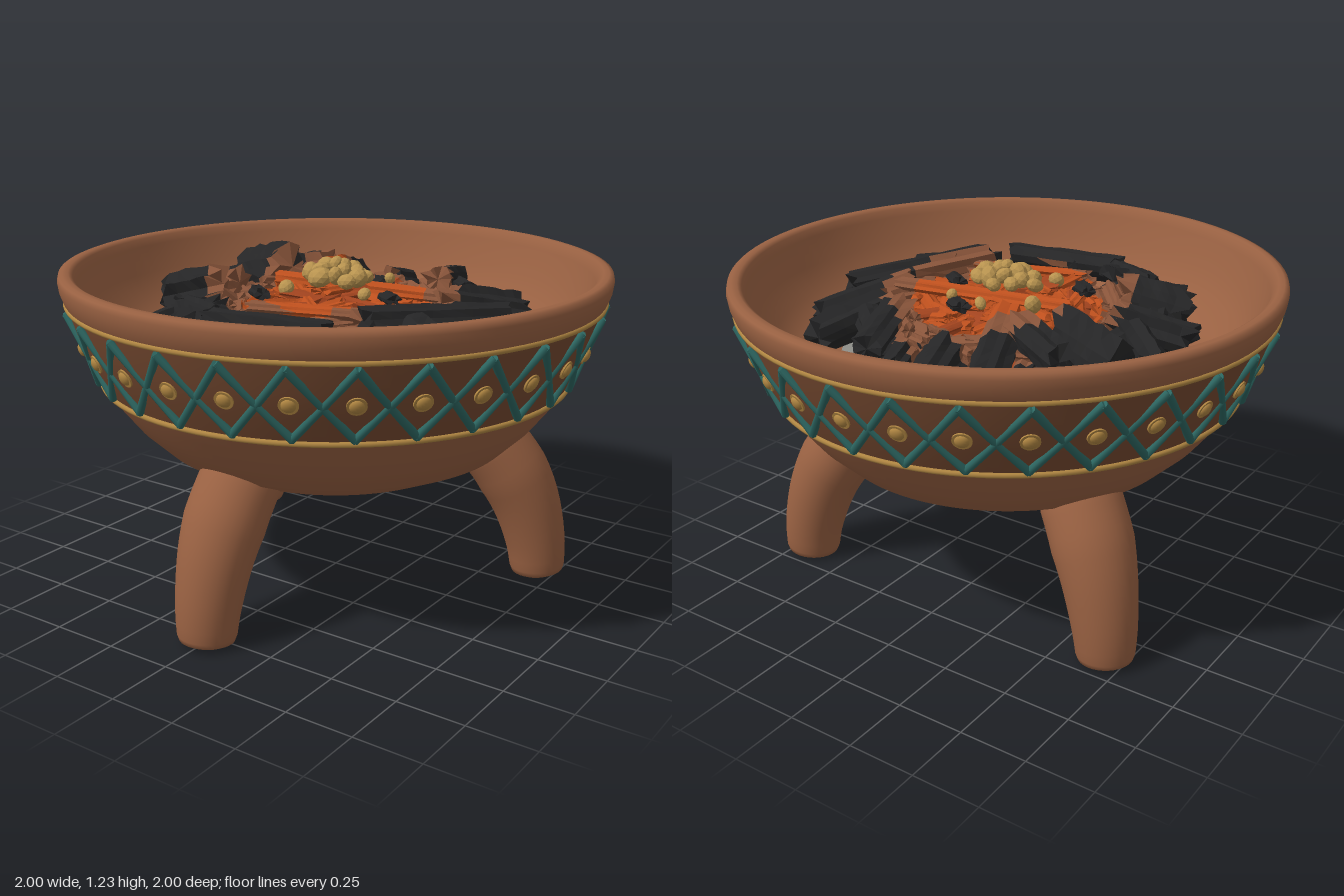
import * as THREE from 'three';
import { mergeVertices } from 'three/addons/utils/BufferGeometryUtils.js';

const V = (x, y, z) => new THREE.Vector3(x, y, z);
const mat = (name, color, extra = {}) => {
  const m = new THREE.MeshStandardMaterial({ color, ...extra });
  m.name = name;
  return m;
};
const flat = { flatShading: true };

export function createModel() {
  const model = new THREE.Group();
  model.name = 'fireBowl';
  const clay = mat('clay', 0x996142);
  const darkClay = mat('darkClay', 0x754930);
  const gold = mat('gold', 0xb08642);
  const teal = mat('teal', 0x2d6762);
  const ashGrey = mat('ashGrey', 0x8a8a84);
  const black = mat('charcoalBlack', 0x252526, flat);
  const brown = mat('scorchedBrown', 0x88543a, flat);
  const orange = mat('emberOrange', 0xbd4f1d, flat);
  const deepOrange = mat('emberDeep', 0xa5451f, flat);
  const resinGold = mat('resinGold', 0xb8934f, flat);

  const add = (name, geo, material, parent = model) => {
    const mesh = new THREE.Mesh(geo, material);
    mesh.name = name;
    parent.add(mesh);
    return mesh;
  };
  let seed = 7;
  const rnd = (a = 0, b = 1) => {
    seed = (seed * 16807) % 2147483647;
    return a + (b - a) * seed / 2147483647;
  };
  const lathe = (name, pts, material) =>
    add(name, new THREE.LatheGeometry(pts.map(p => new THREE.Vector2(...p)), 96), material);

  // Bowl: underside, decorated band, then rim and inside
  lathe('bowlUnderside', [[0, 0.45], [0.35, 0.452], [0.5, 0.485], [0.65, 0.555], [0.75, 0.65], [0.82, 0.74], [0.86, 0.8]], clay);
  lathe('band', [[0.86, 0.8], [0.905, 0.89], [0.945, 0.99], [0.972, 1.09]], darkClay);
  lathe('rimAndInside', [[0.972, 1.09], [0.982, 1.105], [0.995, 1.14], [1, 1.175], [0.995, 1.195], [0.98, 1.2], [0.96, 1.2],
    [0.945, 1.19], [0.935, 1.16], [0.9, 1.06], [0.85, 0.97], [0.78, 0.9], [0.7, 0.86], [0.6, 0.84], [0, 0.83]], clay);
  lathe('ashBed', [[0.62, 0.84], [0.615, 0.885], [0.56, 0.91], [0.4, 0.93], [0, 0.94]], ashGrey);

  // Gold rings bordering the band
  for (const [r, y] of [[0.975, 1.092], [0.863, 0.798]]) {
    add('goldRing', new THREE.TorusGeometry(r, 0.01, 8, 96).rotateX(Math.PI / 2), gold).position.y = y;
  }

  // Crossed lattice and studs around the band
  const band = new THREE.Group();
  band.name = 'bandOrnament';
  model.add(band);
  const count = 28, step = Math.PI * 2 / count, up = V(0, 1, 0);
  const onBand = (a, y, lift) => {
    const r = 0.863 + (y - 0.8) * 0.39 + lift;
    return V(Math.sin(a) * r, y, Math.cos(a) * r);
  };
  const strutGeo = new THREE.CylinderGeometry(0.0145, 0.0145, 1, 8);
  const baseGeo = new THREE.CylinderGeometry(0.033, 0.033, 0.012, 20).rotateX(Math.PI / 2);
  const studGeo = new THREE.SphereGeometry(0.025, 16, 10).scale(1, 1, 0.6);
  for (let i = 0; i < count; i++) {
    const a = i * step;
    for (const [y0, y1] of [[0.818, 1.07], [1.07, 0.818]]) {
      const p = onBand(a, y0, 0.008), q = onBand(a + step, y1, 0.008), d = q.clone().sub(p);
      const strut = add('latticeStrut', strutGeo, teal, band);
      strut.position.copy(p).add(q).multiplyScalar(0.5);
      strut.scale.y = d.length() + 0.01;
      strut.quaternion.setFromUnitVectors(up, d.normalize());
    }
    const stud = new THREE.Group();
    stud.name = 'stud';
    stud.position.copy(onBand(a, 0.945, 0.007));
    stud.rotation.set(0.36, a, 0, 'YXZ');
    add('studBase', baseGeo, gold, stud);
    add('studDome', studGeo, gold, stud).position.z = 0.004;
    band.add(stud);
  }

  // Leg: a turned profile bent along a curve, slightly flattened front to back
  const path = new THREE.CatmullRomCurve3([V(0, 0, 0.785), V(0, 0.13, 0.772), V(0, 0.3, 0.725), V(0, 0.42, 0.665), V(0, 0.52, 0.592), V(0, 0.585, 0.535)]);
  const profile = [[0, 0.005], [0.08, 0.005], [0.098, 0.02], [0.105, 0.05]];
  for (let i = 1; i <= 14; i++) profile.push([0.105 + 0.043 * Math.min(1, i / 10), 0.05 + i * 0.06]);
  profile.push([0.14, 0.94], [0.115, 0.985], [0.08, 1], [0, 1]);
  let legGeo = new THREE.LatheGeometry(profile.map(p => new THREE.Vector2(...p)), 32);
  const lp = legGeo.attributes.position;
  for (let i = 0; i < lp.count; i++) {
    const t = lp.getY(i), c = path.getPointAt(t), T = path.getTangentAt(t), w = lp.getZ(i) * (1 - 0.1 * t);
    lp.setXYZ(i, lp.getX(i), Math.max(0, c.y - T.z * w), c.z + T.y * w);
  }
  legGeo.deleteAttribute('uv');
  legGeo.deleteAttribute('normal');
  legGeo = mergeVertices(legGeo, 1e-5);
  legGeo.computeVertexNormals();
  for (let i = 0; i < 3; i++) add('leg', legGeo, clay).rotation.y = i * Math.PI * 2 / 3;

  // Split-wood pieces; each triangle joins a colour zone by its distance from the centre
  const zones = { black: [], brown: [], orange: [], deepOrange: [] };
  const stick = (a, b, w, h, pick) => {
    const n = 14, segs = 7, d = b.clone().sub(a), len = d.length();
    d.normalize();
    const s = V(0, 1, 0).cross(d).normalize(), u = d.clone().cross(s), roll = rnd(0, 3);
    const radii = Array.from({ length: n }, (_, i) => (i % 2 ? 0.92 : 1.1) * rnd(0.85, 1.15));
    const rings = [];
    for (let k = 0; k <= segs; k++) {
      const end = k === 0 || k === segs;
      rings.push(radii.map((r, i) => {
        const t = i / n * Math.PI * 2 + roll, f = r * rnd(0.94, 1.06);
        return a.clone().addScaledVector(d, len * k / segs + (end ? rnd(-0.5, 0.5) * w : 0))
          .addScaledVector(s, Math.cos(t) * w * f).addScaledVector(u, Math.sin(t) * h * f);
      }));
    }
    const tri = (p, q, r) => {
      const x = (p.x + q.x + r.x) / 3, z = (p.z + q.z + r.z) / 3;
      zones[pick(Math.hypot(x, z))].push(...p, ...q, ...r);
    };
    for (let i = 0; i < n; i++) {
      const j = (i + 1) % n;
      for (let k = 0; k < segs; k++) {
        tri(rings[k][i], rings[k][j], rings[k + 1][j]);
        tri(rings[k][i], rings[k + 1][j], rings[k + 1][i]);
      }
      tri(a, rings[0][j], rings[0][i]);
      tri(b, rings[segs][i], rings[segs][j]);
    }
  };
  const heat = r => r > 0.46 ? 'black' : r > 0.35 ? 'brown' : 'orange';

  // Outer charcoal: x, z of both ends and half width
  const coals = [
    [-0.12, -0.7, -0.05, -0.44, 0.06], [-0.3, -0.57, -0.17, -0.24, 0.06], [0.15, -0.62, 0.24, -0.33, 0.055],
    [0.47, -0.51, 0.36, -0.24, 0.07], [0.58, -0.37, 0.4, -0.08, 0.06], [-0.59, -0.26, -0.36, -0.22, 0.095],
    [-0.68, -0.13, -0.45, 0.07, 0.07], [-0.67, 0.14, -0.42, 0.04, 0.075], [-0.55, 0.3, -0.36, 0.22, 0.08],
    [-0.44, 0.54, -0.3, 0.33, 0.075], [-0.26, 0.57, -0.2, 0.42, 0.065], [-0.15, 0.55, 0.3, 0.47, 0.055],
    [0.12, 0.66, 0.05, 0.46, 0.065], [0.46, 0.53, 0.36, 0.27, 0.05], [0.62, -0.14, 0.34, 0.33, 0.06],
    [0.67, 0.13, 0.47, -0.04, 0.055], [0.59, 0.27, 0.4, 0.18, 0.065], [-0.46, -0.38, -0.24, -0.3, 0.06],
    [-0.5, -0.12, -0.5, 0.12, 0.06], [-0.53, 0.16, -0.44, 0.36, 0.055], [-0.34, 0.44, -0.14, 0.52, 0.05],
    [0.5, -0.22, 0.52, 0.02, 0.05], [0.2, -0.5, 0.34, -0.38, 0.045],
  ];
  coals.forEach(([x1, z1, x2, z2, w], i) => {
    const y = (x, z) => 0.985 + Math.max(0, 0.7 - Math.hypot(x, z)) * 0.25 + (i % 3) * 0.025;
    stick(V(x1, y(x1, z1), z1), V(x2, y(x2, z2), z2), w, w * 0.9, heat);
  });
  // Under-layer of half-burnt pieces closing the ring
  for (let i = 0; i < 28; i++) {
    const a = i / 28 * Math.PI * 2, r = rnd(0.5, 0.57), t = a + rnd(-0.3, 0.3);
    stick(V(Math.sin(a) * r, 0.95, Math.cos(a) * r), V(Math.sin(t) * 0.34, 1.01, Math.cos(t) * 0.34), 0.045, 0.045, heat);
  }
  // Scorched ring, laid mostly around the fire
  for (let i = 0; i < 28; i++) {
    const a = i / 28 * Math.PI * 2, t = a + rnd(0.25, 0.7), r = rnd(0.34, 0.44), q = rnd(0.33, 0.45), y = rnd(1.01, 1.06);
    stick(V(Math.sin(a) * r, y, Math.cos(a) * r), V(Math.sin(t) * q, y + rnd(-0.02, 0.04), Math.cos(t) * q),
      rnd(0.022, 0.038), 0.025, heat);
  }
  // Glowing embers heaped towards the middle
  for (let i = 0; i < 70; i++) {
    const a = rnd(0, 6.283), r = 0.32 * Math.sqrt(rnd()), t = rnd(0, 6.283), l = rnd(0.06, 0.17);
    const x = Math.sin(a) * r, z = Math.cos(a) * r, y = 1.125 - r * 0.22 - rnd(0, 0.06), dy = rnd(-0.025, 0.025);
    const hot = i % 4 ? 'orange' : 'deepOrange';
    stick(V(x - Math.sin(t) * l, y - dy, z - Math.cos(t) * l), V(x + Math.sin(t) * l, y + dy, z + Math.cos(t) * l),
      rnd(0.018, 0.038), rnd(0.014, 0.024), k => k > 0.38 ? 'brown' : hot);
  }
  stick(V(-0.28, 1.11, -0.03), V(0.42, 1.1, -0.13), 0.032, 0.022, heat);
  stick(V(-0.12, 1.09, 0.36), V(0.3, 1.09, 0.24), 0.034, 0.022, heat);
  // Small unburnt bits in the embers
  for (const [x, z] of [[0.08, -0.2], [0.25, 0.02], [-0.2, 0.2]]) {
    stick(V(x - 0.03, 1.1, z - 0.02), V(x + 0.03, 1.1, z + 0.02), 0.03, 0.022, () => 'black');
  }
  const looks = { black, brown, orange, deepOrange };
  const labels = { black: 'charcoal', brown: 'scorchedWood', orange: 'embers', deepOrange: 'deepEmbers' };
  for (const key of Object.keys(zones)) {
    const g = new THREE.BufferGeometry();
    g.setAttribute('position', new THREE.Float32BufferAttribute(zones[key], 3));
    g.computeVertexNormals();
    add(labels[key], g, looks[key]);
  }
  // Ember core below the sticks
  add('emberCore', new THREE.SphereGeometry(0.4, 24, 8, 0, Math.PI * 2, 0, Math.PI / 2).scale(1, 0.42, 1), deepOrange).position.y = 0.9;

  // Resin lumps: a heap in the middle and a few strays
  const lump = (x, y, z, r) => {
    const m = add('resinLump', new THREE.IcosahedronGeometry(r, 1), resinGold);
    m.position.set(x, y, z);
    m.rotation.set(rnd(0, 3), rnd(0, 3), rnd(0, 3));
    m.scale.set(rnd(0.75, 1.2), rnd(0.7, 1), rnd(0.75, 1.2));
  };
  for (let i = 0; i < 18; i++) {
    const a = i * 2.4, r = 0.03 * Math.sqrt(i);
    lump(0.01 + Math.sin(a) * r * 1.1, 1.2 - r * 0.4, 0.01 + Math.cos(a) * r * 0.65, rnd(0.03, 0.042));
  }
  for (const [x, z] of [[-0.02, -0.2], [0.19, 0.1], [-0.1, 0.17], [0.12, -0.18], [-0.18, -0.11]]) lump(x, 1.125, z, rnd(0.022, 0.035));
  return model;
}
